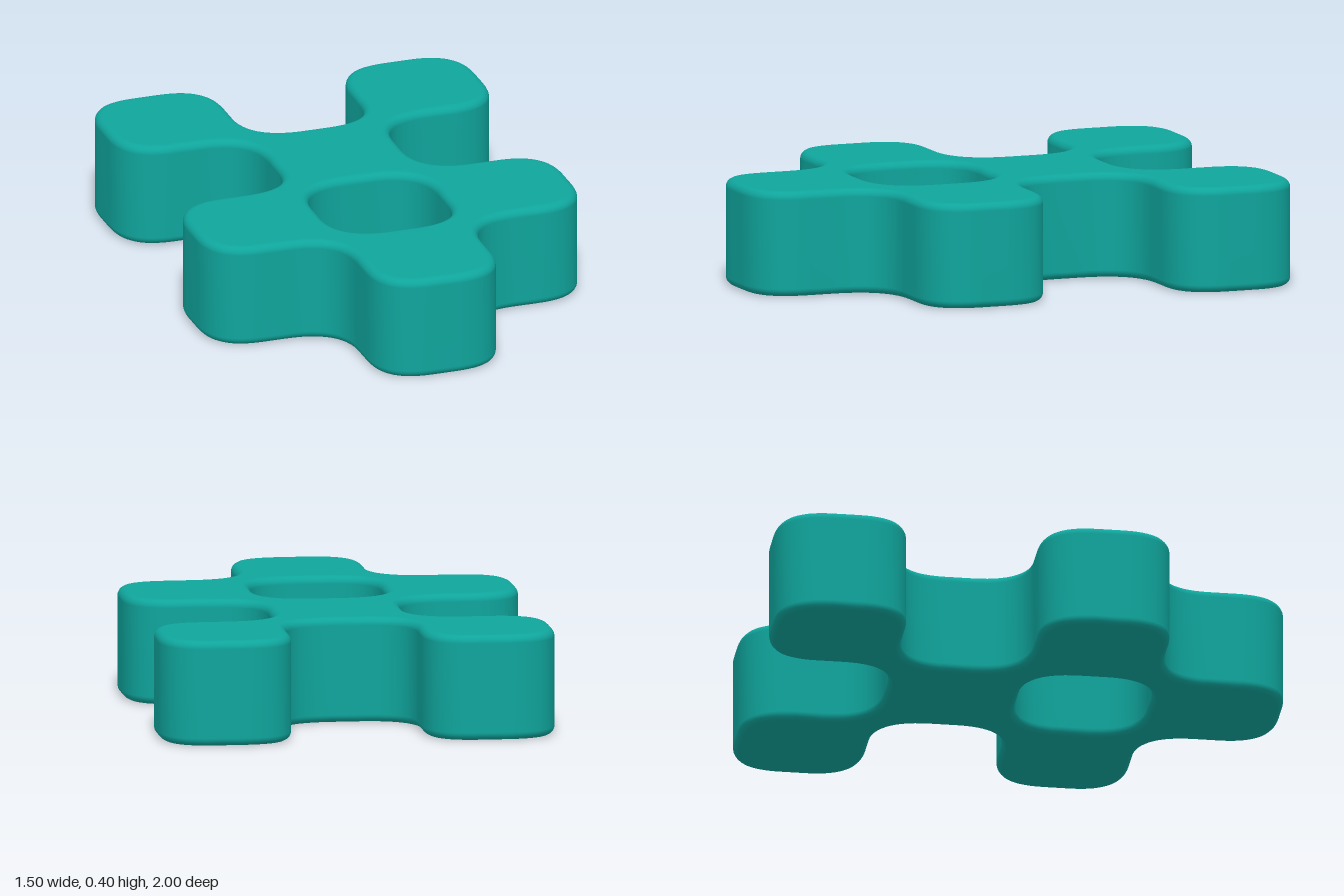
import * as THREE from 'three';
import { mergeVertices } from 'three/addons/utils/BufferGeometryUtils.js';

const HEIGHT = 0.4, BEVEL = 0.03, REACH = 0.2;

// Traces a polygon of [x, z] corners, rounding each one
function roundedPath(path, corners) {
  const pts = corners.map(([x, z]) => new THREE.Vector2(x, -z));
  const n = pts.length;
  pts.forEach((p, i) => {
    const toward = (q) => p.clone().add(q.clone().sub(p).setLength(REACH));
    const a = toward(pts[(i + n - 1) % n]);
    const b = toward(pts[(i + 1) % n]);
    if (i === 0) path.moveTo(a.x, a.y);
    else path.lineTo(a.x, a.y);
    path.quadraticCurveTo(p.x, p.y, b.x, b.y);
  });
  path.closePath();
  return path;
}

export function createModel() {
  const group = new THREE.Group();
  group.name = 'checkerBlock';

  // Right half of the outline, front to back, then mirrored
  const half = [
    [0.25, 1], [0.25, 0.5], [0.75, 0.5], [0.75, 0], [0.25, 0],
    [0.25, -0.5], [0.75, -0.5], [0.75, -1], [0.25, -1], [0.25, -0.5],
  ];
  const outline = [...half, ...half.map(([x, z]) => [-x, z]).reverse()];
  const shape = roundedPath(new THREE.Shape(), outline);

  // Square window in the front half
  shape.holes.push(roundedPath(new THREE.Path(),
    [[-0.25, 0], [-0.25, 0.5], [0.25, 0.5], [0.25, 0]]));

  // Slab with softly rounded rims, laid flat
  let geometry = new THREE.ExtrudeGeometry(shape, {
    depth: HEIGHT - 2 * BEVEL,
    bevelEnabled: true,
    bevelSize: BEVEL,
    bevelThickness: BEVEL,
    bevelOffset: -BEVEL,
    bevelSegments: 5,
    curveSegments: 14,
  });
  geometry.rotateX(-Math.PI / 2);
  geometry.translate(0, BEVEL, 0);

  // Weld so the rims and walls shade smoothly
  geometry.deleteAttribute('uv');
  geometry.deleteAttribute('normal');
  geometry = mergeVertices(geometry, 1e-4);
  geometry.computeVertexNormals();

  const body = new THREE.Mesh(geometry, new THREE.MeshStandardMaterial({ color: 0x0fa59c }));
  body.name = 'body';
  group.add(body);
  return group;
}
